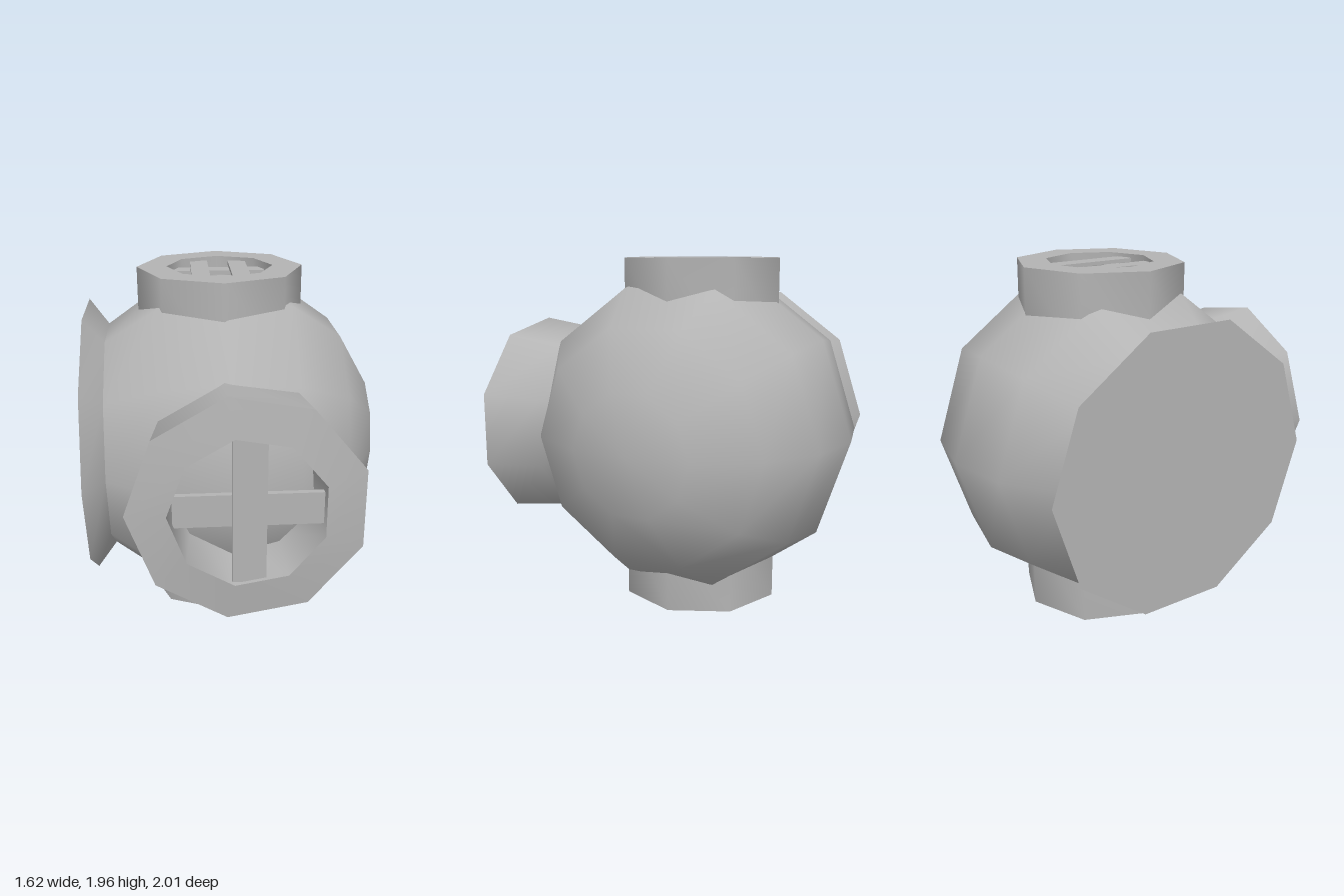
import * as THREE from 'three';
import { toCreasedNormals } from 'three/addons/utils/BufferGeometryUtils.js';

const grey = new THREE.MeshStandardMaterial({ color: 0xb4b4b4 });
grey.name = 'grey';

function turned(name, profile, sides, phiStart = 0) {
  const points = profile.map(([r, y]) => new THREE.Vector2(r, y));
  const geometry = new THREE.LatheGeometry(points, sides, phiStart);
  const mesh = new THREE.Mesh(toCreasedNormals(geometry, 0.9), grey);
  mesh.name = name;
  return mesh;
}

function bar(name, size, position) {
  const mesh = new THREE.Mesh(new THREE.BoxGeometry(...size), grey);
  mesh.name = name;
  mesh.position.set(...position);
  return mesh;
}

// Octagonal vent with a recessed grille of two crossed bar pairs
function createVent(name) {
  const vent = new THREE.Group();
  vent.name = name;
  vent.add(turned('ventCollar', [[0.46, 0.55], [0.46, 0.98], [0.295, 0.98], [0.295, 0.74]], 8));
  for (const x of [-0.11, 0.11]) {
    vent.add(bar('ventLongBar', [0.1, 0.02, 0.51], [x, 0.95, 0]));
  }
  for (const z of [-0.115, 0.115]) {
    vent.add(bar('ventCrossBar', [0.51, 0.02, 0.1], [0, 0.93, z]));
  }
  return vent;
}

export function createModel() {
  const model = new THREE.Group();
  model.name = 'ventedSphere';

  // Ten-sided round body, its axis along x, flaring to a flat base flange
  const body = turned('body', [
    [0, -0.81], [0.795, -0.81], [0.65, -0.7], [0.86, -0.4], [0.93, -0.045],
    [0.86, 0.31], [0.66, 0.59], [0.335, 0.77], [0, 0.81],
  ], 10);
  body.rotation.z = -Math.PI / 2;
  body.position.set(0, 0.98, -0.075);
  model.add(body);

  // Top and bottom vents
  for (const [name, turn] of [['topVent', 0], ['bottomVent', Math.PI]]) {
    const vent = createVent(name);
    vent.rotation.x = turn;
    vent.position.set(-0.06, 0.98, -0.107);
    model.add(vent);
  }

  // Nine-sided front window with a cross of bars
  const frontWindow = new THREE.Group();
  frontWindow.name = 'frontWindow';
  const frame = turned('windowFrame',
    [[0.53, 0.45], [0.555, 0.62], [0.605, 0.975], [0.4, 1.0], [0.36, 0.6]], 9, -Math.PI / 2);
  frame.rotation.x = Math.PI / 2;
  frontWindow.add(
    frame,
    bar('windowUpright', [0.17, 0.77, 0.03], [0.003, 0, 0.965]),
    bar('windowCrossBar', [0.75, 0.17, 0.03], [0.003, 0, 0.935]),
  );
  frontWindow.position.set(0.015, 0.983, 0);
  model.add(frontWindow);

  return model;
}
